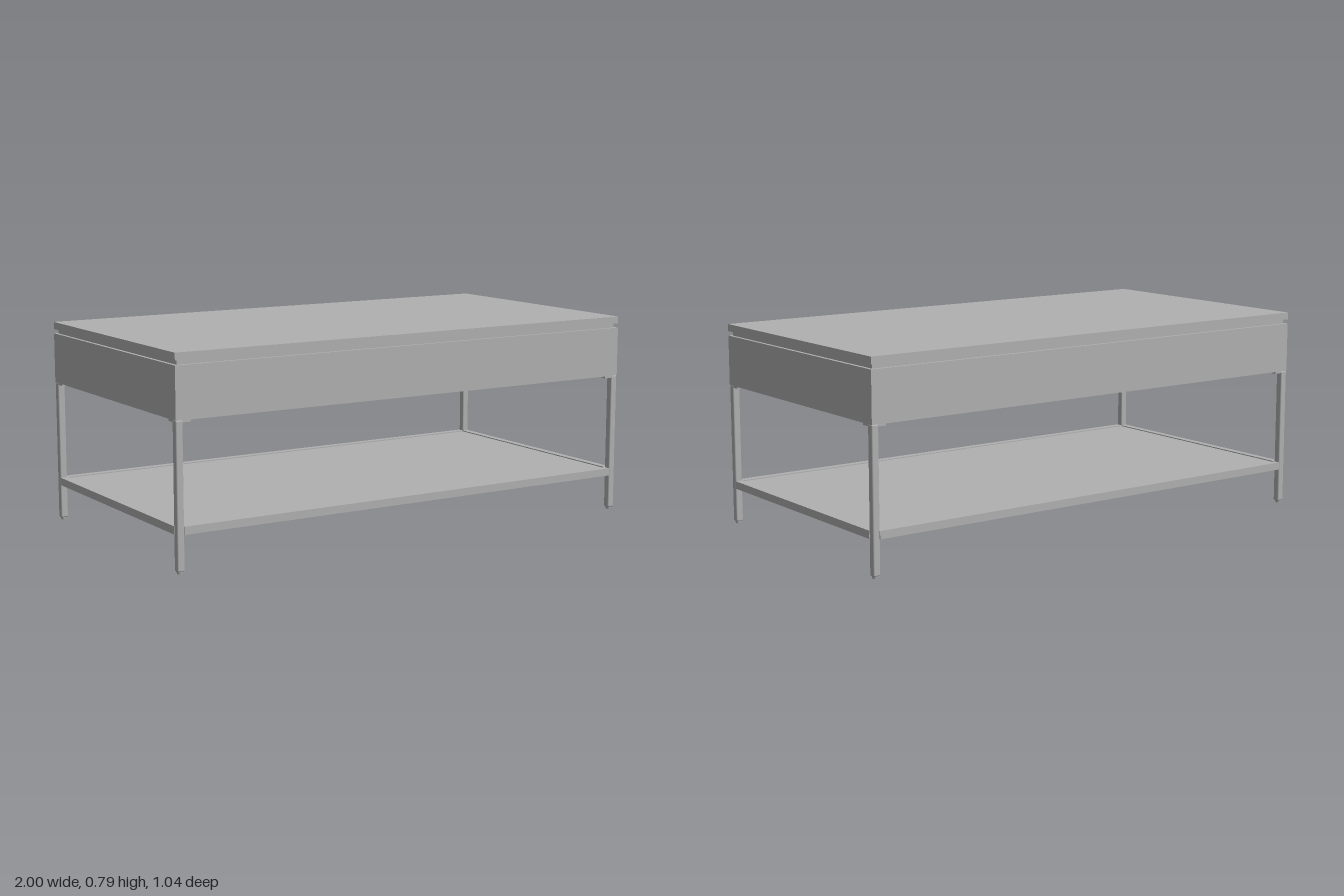
import * as THREE from 'three';
import { RoundedBoxGeometry } from 'three/addons/geometries/RoundedBoxGeometry.js';

const W = 1, D = 0.521;   // half width and half depth
const T = 0.028;          // leg and rail thickness

export function createModel() {
  const table = new THREE.Group();
  table.name = 'coffeeTable';
  const grey = new THREE.MeshStandardMaterial({ color: 0xb0b0b0 });
  grey.name = 'grey';

  const add = (name, geometry, x, y, z) => {
    const mesh = new THREE.Mesh(geometry, grey);
    mesh.name = name;
    mesh.position.set(x, y, z);
    table.add(mesh);
    return mesh;
  };
  // Box given by its size in x and z and its bottom and top heights
  const slab = (name, w, d, y0, y1, x = 0, z = 0) =>
    add(name, new THREE.BoxGeometry(w, y1 - y0, d), x, (y0 + y1) / 2, z);

  // Top board, shadow gap and drawer case
  slab('tableTop', 2 * W, 2 * D, 0.765, 0.793);
  slab('shadowGap', 2 * W - 0.026, 2 * D - 0.026, 0.74, 0.768);
  slab('caseBody', 2 * W - 0.036, 2 * D - 0.036, 0.557, 0.745);
  for (const s of [-1, 1]) {
    slab(s > 0 ? 'frontPanel' : 'backPanel', 2 * W, 0.018, 0.553, 0.748, 0, s * (D - 0.009));
    slab('sidePanel', 0.018, 2 * D - 0.036, 0.553, 0.748, s * (W - 0.009), 0);
  }

  // Shelf board set between four rails
  slab('shelf', 2 * (W - T), 2 * (D - T), 0.144, 0.168);
  for (const s of [-1, 1]) {
    slab('longRail', 2 * (W - T), T, 0.142, 0.172, 0, s * (D - T / 2));
    slab('sideRail', T, 2 * (D - T), 0.142, 0.172, s * (W - T / 2), 0);
  }

  // Legs with small feet and triangular mounting plates
  const legGeometry = new RoundedBoxGeometry(T, 0.545, T, 2, 0.005);
  const footGeometry = new THREE.CylinderGeometry(0.0125, 0.0105, 0.012, 16);
  for (const sx of [-1, 1]) {
    for (const sz of [-1, 1]) {
      const x = sx * (W - T / 2), z = sz * (D - T / 2);
      add('leg', legGeometry, x, 0.2815, z);
      add('foot', footGeometry, x, 0.006, z);

      const outline = new THREE.Shape([
        [0, 0], [0.058, 0], [0.058, 0.02], [0.02, 0.058], [0, 0.058],
      ].map(([u, v]) => new THREE.Vector2(sx * (W - 0.002 - u), sz * (D - 0.002 - v))));
      const plate = new THREE.ExtrudeGeometry(outline, { depth: 0.012, bevelEnabled: false });
      plate.rotateX(Math.PI / 2);
      add('mountingPlate', plate, 0, 0.557, 0);
    }
  }
  return table;
}
